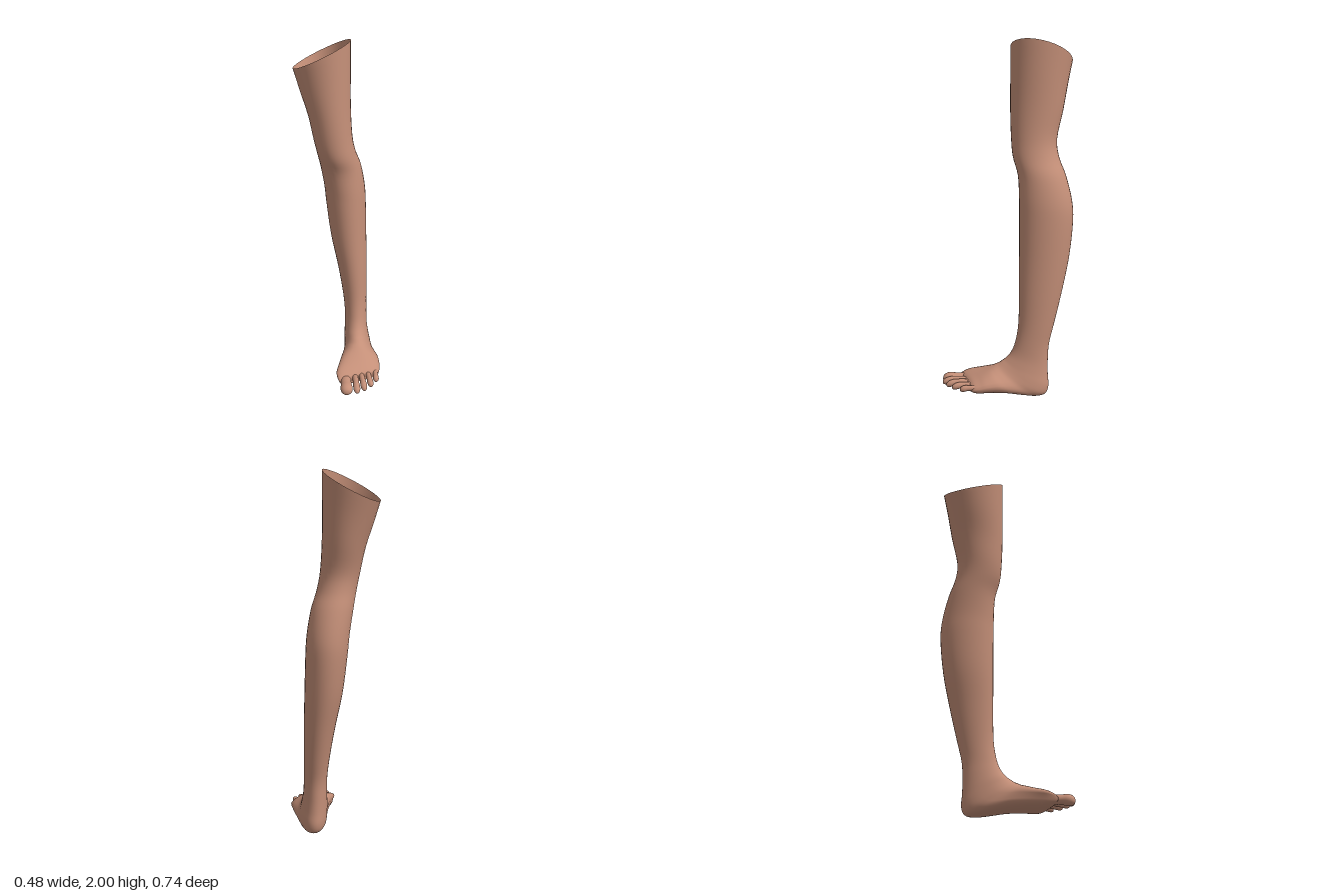
import * as THREE from 'three';

const RADIAL = 32;

// Superellipse helper: exponent 1 is round, less than 1 is boxier
const sp = (v, e) => Math.sign(v) * Math.pow(Math.abs(v), e);

// Lofts rings through sections: [frontZ, frontY, backZ, backY, xMin, xMax, tiltY, shearZ, skewX, power].
// The front and back points set the plane of each ring, so rings can fan round the ankle.
function loft(sections, perSpan, capEnd) {
  const spline = (fn) => new THREE.CatmullRomCurve3(
    sections.map((s) => new THREE.Vector3(...fn(s))), false, 'catmullrom', 0.5);
  const front = spline((s) => [s[0], s[1], s[6] || 0]);
  const back = spline((s) => [s[2], s[3], s[7] || 0]);
  const side = spline((s) => [s[4], s[5], s[8] || 0]);
  const power = spline((s) => [s[9] || 1, 0, 0]);
  const rings = (sections.length - 1) * perSpan;
  const pos = [], idx = [];
  for (let i = 0; i <= rings; i++) {
    const t = i / rings;
    const f = front.getPoint(t), b = back.getPoint(t), w = side.getPoint(t), e = power.getPoint(t).x;
    const cx = (w.x + w.y) / 2, hx = (w.y - w.x) / 2;
    for (let j = 0; j < RADIAL; j++) {
      const a = (j / RADIAL) * Math.PI * 2;
      const c = sp(Math.cos(a), e), s = sp(Math.sin(a), e);
      const k = (s + 1) / 2, dx = hx * c;
      pos.push(cx + dx - w.z * Math.max(0, s),
        b.y + (f.y - b.y) * k + f.z * dx,
        b.x + (f.x - b.x) * k + b.z * dx);
    }
  }
  for (let i = 0; i < rings; i++) {
    for (let j = 0; j < RADIAL; j++) {
      const n = (j + 1) % RADIAL;
      const p = i * RADIAL + j, q = i * RADIAL + n;
      idx.push(p, q, p + RADIAL, q, q + RADIAL, p + RADIAL);
    }
  }
  if (capEnd) {
    const start = rings * RADIAL, centre = pos.length / 3;
    for (let k = 0; k < 3; k++) {
      let sum = 0;
      for (let j = 0; j < RADIAL; j++) sum += pos[(start + j) * 3 + k];
      pos.push(sum / RADIAL);
    }
    for (let j = 0; j < RADIAL; j++) idx.push(start + j, start + ((j + 1) % RADIAL), centre);
  }
  const g = new THREE.BufferGeometry();
  g.setAttribute('position', new THREE.Float32BufferAttribute(pos, 3));
  g.setIndex(idx);
  g.computeVertexNormals();
  return g;
}

export function createModel() {
  const group = new THREE.Group();
  group.name = 'leg';
  const skin = new THREE.MeshStandardMaterial({ color: 0xc48f78, side: THREE.DoubleSide });
  skin.name = 'skin';
  const add = (name, geometry) => {
    const mesh = new THREE.Mesh(geometry, skin);
    mesh.name = name;
    group.add(mesh);
  };

  // Thigh and knee, open at the slanted top rim
  const thigh = [
    [-0.015, 1.95, -0.36, 1.875, -0.243, 0.07, 0.5],
    [-0.015, 1.78, -0.335, 1.75, -0.208, 0.07, 0.35],
    [-0.015, 1.6, -0.308, 1.6, -0.165, 0.071, 0.18],
    [-0.02, 1.45, -0.276, 1.45, -0.137, 0.08, 0.05],
    [-0.03, 1.35, -0.287, 1.35, -0.117, 0.1],
    [-0.058, 1.25, -0.325, 1.25, -0.098, 0.132],
  ];
  // Calf and shin
  const calf = [
    [-0.065, 1.12, -0.358, 1.12, -0.077, 0.155],
    [-0.066, 1.0, -0.366, 1.0, -0.065, 0.163],
    [-0.066, 0.8, -0.346, 0.8, -0.04, 0.168],
    [-0.066, 0.6, -0.306, 0.6, 0, 0.172],
    [-0.063, 0.42, -0.264, 0.42, 0.03, 0.172],
    [-0.045, 0.31, -0.236, 0.3, 0.042, 0.172],
  ];
  // Ankle, heel and sole: rings fan forward into the foot
  const foot = [
    [-0.02, 0.25, -0.23, 0.2, 0.042, 0.174],
    [0.01, 0.215, -0.231, 0.12, 0.04, 0.182, 0, 0, 0.003],
    [0.03, 0.2, -0.235, 0.055, 0.04, 0.19, 0, 0, 0.006],
    [0.05, 0.186, -0.218, 0.012, 0.04, 0.197, 0, 0, 0.01, 0.95],
    [0.066, 0.178, -0.17, 0.001, 0.039, 0.203, 0, 0, 0.015, 0.9],
    [0.085, 0.168, -0.1, 0.01, 0.034, 0.216, 0, 0, 0.02, 0.87],
    [0.11, 0.157, 0, 0.027, 0.024, 0.232, 0, -0.05, 0.03, 0.85],
    [0.15, 0.14, 0.1, 0.032, 0.007, 0.24, 0, -0.15, 0.035, 0.83],
    [0.19, 0.124, 0.17, 0.03, -0.008, 0.24, 0, -0.28, 0.035, 0.8],
    [0.222, 0.107, 0.215, 0.034, -0.003, 0.235, 0, -0.35, 0.025, 0.78],
    [0.238, 0.09, 0.236, 0.045, 0.006, 0.226, 0, -0.38, 0.015, 0.78],
  ];
  add('legAndFoot', loft([...thigh, ...calf, ...foot], 4, true));

  // Toes: [name, baseX, tipX, baseZ, tipZ, halfWidth, halfHeight, arch]
  const toes = [
    ['bigToe', 0.035, 0.04, 0.19, 0.37, 0.035, 0.031, 0.006],
    ['secondToe', 0.088, 0.1, 0.19, 0.368, 0.02, 0.021, 0.016],
    ['thirdToe', 0.124, 0.143, 0.18, 0.345, 0.019, 0.02, 0.015],
    ['fourthToe', 0.163, 0.182, 0.165, 0.31, 0.018, 0.019, 0.012],
    ['littleToe', 0.21, 0.214, 0.15, 0.263, 0.017, 0.018, 0.008],
  ];
  // Station along the toe and its thickness
  const stations = [[0, 0.9], [0.35, 0.86], [0.6, 0.88], [0.76, 1], [0.88, 0.93], [0.96, 0.65], [0.99, 0.35], [1, 0.05]];
  for (const [name, bx, tx, bz, tz, w, h, arch] of toes) {
    add(name, loft(stations.map(([t, r]) => {
      const x = bx + (tx - bx) * t, z = bz + (tz - bz) * t;
      const y = 0.066 + arch * Math.sin(t * Math.PI);
      return [z, y + h * r, z, y - h * r, x - w * r, x + w * r];
    }), 3, true));
  }
  return group;
}
